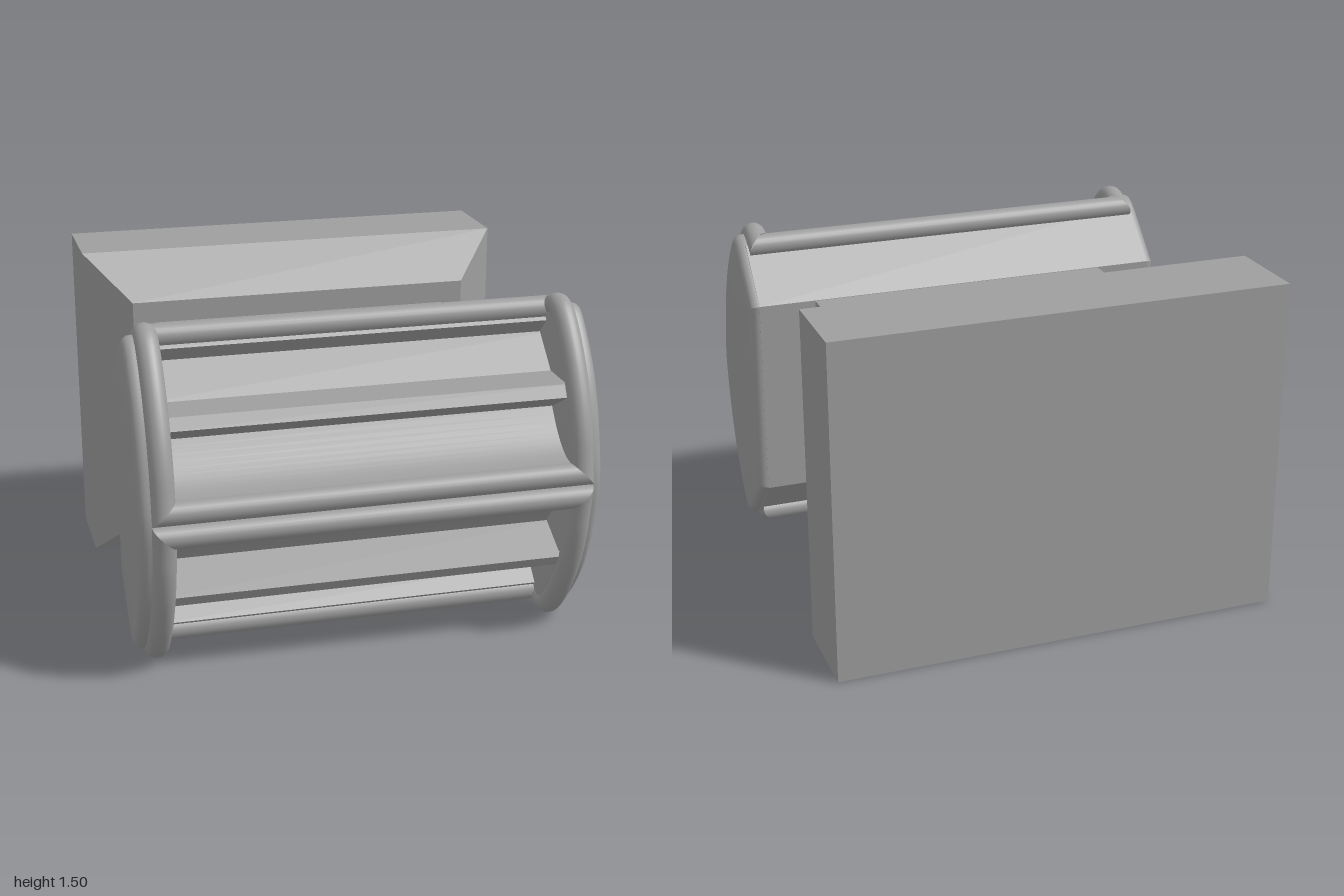
import * as THREE from 'three';
import { toCreasedNormals } from 'three/addons/utils/BufferGeometryUtils.js';

const MID = 0.75; // height of the mirror plane
const R = 0.05;   // radius of the guard tubes
const gray = new THREE.MeshStandardMaterial({ color: 0x9e9e9e });
gray.name = 'gray';

const flip = (pts) => pts.map(([z, y]) => [z, 2 * MID - y]);

// Extrudes a closed [z, y] outline along x, centred on x
function extrudeX(pts, x, width, bevel = 0) {
  const shape = new THREE.Shape(pts.map(([z, y]) => new THREE.Vector2(z, y)));
  const depth = width - 2 * bevel;
  const geo = new THREE.ExtrudeGeometry(shape, {
    depth, bevelEnabled: bevel > 0, bevelSize: bevel,
    bevelThickness: bevel, bevelOffset: -bevel, bevelSegments: 5,
  });
  geo.translate(0, 0, -depth / 2);
  geo.rotateY(-Math.PI / 2);
  geo.translate(x, 0, 0);
  return toCreasedNormals(geo, 0.45);
}

// Smooth curve through [z, y] points
const smooth = (pts, n) => new THREE.SplineCurve(pts.map(([z, y]) => new THREE.Vector2(z, y)))
  .getPoints(n).map((v) => [v.x, v.y]);

// Curved rail at x whose ends stop R short of the corners, then run on to a mitre
function sideRail(pts, corners, x) {
  const path = new THREE.CatmullRomCurve3(pts.map(([z, y]) => new THREE.Vector3(x, y, z)));
  const tubular = 40, radial = 24;
  const geo = new THREE.TubeGeometry(path, tubular, R, radial);
  const pos = geo.attributes.position;
  corners.forEach(({ dir }, end) => {
    for (let j = 0; j <= radial; j++) {
      const i = end * tubular * (radial + 1) + j;
      const shift = R + (pos.getX(i) - x) * Math.sign(x);
      pos.setXYZ(i, pos.getX(i), pos.getY(i) + dir.y * shift, pos.getZ(i) + dir.z * shift);
    }
  });
  return geo;
}

// Straight bar along x with mitred ends
function crossBar({ at, dir }) {
  const geo = new THREE.CylinderGeometry(R, R, 1.8, 24, 1, true).rotateZ(Math.PI / 2);
  const pos = geo.attributes.position;
  for (let i = 0; i < pos.count; i++) {
    const out = pos.getY(i) * dir.y + pos.getZ(i) * dir.z;
    pos.setX(i, pos.getX(i) + Math.sign(pos.getX(i)) * out);
  }
  return geo.translate(0, at.y, at.z);
}

export function createModel() {
  const model = new THREE.Group();
  const add = (name, geo, parent = model) => {
    const mesh = new THREE.Mesh(geo, gray);
    mesh.name = name;
    parent.add(mesh);
  };
  const box = (name, w, h, d, x, y, z) =>
    add(name, new THREE.BoxGeometry(w, h, d).translate(x, y, z));

  // Base block with a tapered front
  box('baseBlock', 2, 1.5, 0.4, 0, MID, -0.8);
  const taper = new THREE.BoxGeometry(2, 1.5, 0.2);
  const p = taper.attributes.position;
  for (let i = 0; i < p.count; i++) {
    if (p.getZ(i) > 0) p.setXY(i, p.getX(i) * 0.8, p.getY(i) * (0.55 / 0.75));
  }
  taper.translate(0, MID, -0.5);
  taper.computeVertexNormals();
  add('baseTaper', taper);

  // Neck and the knob on its side
  box('neck', 1.4, 0.9, 0.7, 0, MID, -0.05);
  const disc = (name, r, x0, x1) => add(name,
    new THREE.CylinderGeometry(r, r, x1 - x0, 48).rotateZ(Math.PI / 2)
      .translate((x0 + x1) / 2, MID, -0.05));
  disc('knobFlange', 0.195, -0.73, -0.69);
  disc('knob', 0.15, -0.8, -0.72);

  // Rounded end plates of the head
  const arc = [[0.55, 1.438], [0.6, 1.455], [0.65, 1.432], [0.7, 1.38], [0.77, 1.29],
    [0.83, 1.19], [0.88, 1.07], [0.92, 0.93]];
  const front = smooth([...flip(arc), [0.948, MID], ...arc.reverse()], 56);
  const plate = [[0.3, 1.2], [0.3, 0.3], [0.51, 0.095], ...front, [0.51, 1.405]];
  for (const s of [-1, 1]) {
    add(s > 0 ? 'leftEndPlate' : 'rightEndPlate', extrudeX(plate, s * 0.93, 0.14, 0.04));
  }

  // Head body: sloped back, notch, flat ledge with a chamfered lip, then a
  // hollow that flares out to a central rib behind the guard bars
  const upper = [[0.298, 1.202], [0.52, 1.424], [0.57, 1.375], [0.5, 1.305], [0.645, 1.17],
    [0.83, 1.168], [0.862, 1.118]];
  for (let i = 0; i <= 12; i++) {
    const t = 1 - i / 12;
    upper.push([0.93 - 0.25 * t, 0.84 + 0.18 * t * t]);
  }
  add('headBody', extrudeX([...flip(upper), ...upper.reverse()], 0, 1.92));

  // Tubular guard frames, one for each half of the front
  const rail = [[0.563, 1.443], [0.6, 1.452], [0.645, 1.438], [0.69, 1.4],
    [0.76, 1.315], [0.82, 1.22], [0.88, 1.095], [0.92, 0.97], [0.942, 0.85]];
  const rear = [0.52, 1.422], nose = [0.95, 0.802];
  const build = (name, pts, ends) => {
    const guard = new THREE.Group();
    guard.name = name;
    model.add(guard);
    const corners = ends.map(([z, y], k) => {
      const [pz, py] = pts[k ? pts.length - 1 : 0];
      const at = new THREE.Vector3(0, y, z);
      return { at, dir: new THREE.Vector3(0, y - py, z - pz).normalize() };
    });
    for (const x of [-0.9, 0.9]) add('sideRail', sideRail(pts, corners, x), guard);
    for (const corner of corners) add('crossBar', crossBar(corner), guard);
  };
  build('upperGuard', rail, [rear, nose]);
  build('lowerGuard', flip(rail), flip([rear, nose]));
  return model;
}
